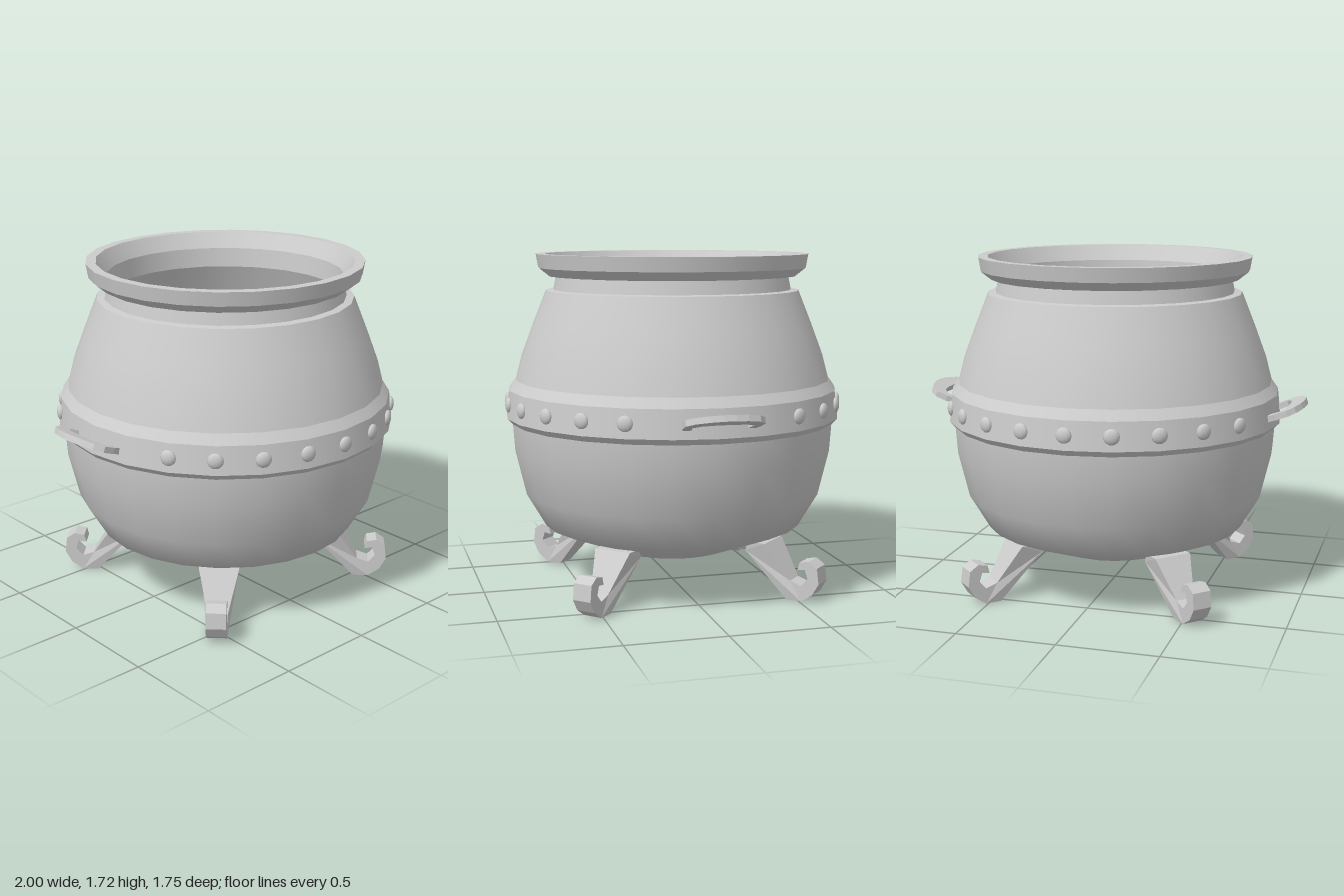
import * as THREE from 'three';

const material = new THREE.MeshStandardMaterial({ color: 0xcccccc });
const SIDES = 24;
const vectors = (pts) => pts.map(([a, b]) => new THREE.Vector2(a, b));

function addMesh(parent, name, geometry) {
  const mesh = new THREE.Mesh(geometry, material);
  mesh.name = name;
  parent.add(mesh);
  return mesh;
}

// Each section is a smooth lathe; hard edges fall between sections.
function addTurned(parent, name, sections) {
  const group = new THREE.Group();
  group.name = name;
  for (const pts of sections) {
    addMesh(group, name + 'Section', new THREE.LatheGeometry(vectors(pts), SIDES));
  }
  parent.add(group);
}

// Curled foot: side profile extruded, wider towards the top.
function legGeometry() {
  const profile = [
    [0.48, 0.24], [0.69, 0], [0.77, 0], [0.83, 0.04], [0.865, 0.1], [0.855, 0.18],
    [0.81, 0.21], [0.76, 0.2], [0.75, 0.16], [0.79, 0.165], [0.805, 0.12],
    [0.77, 0.08], [0.71, 0.1], [0.59, 0.285], [0.5, 0.285],
  ];
  const geometry = new THREE.ExtrudeGeometry(new THREE.Shape(vectors(profile)), { depth: 1, bevelEnabled: false });
  const pos = geometry.attributes.position;
  for (let i = 0; i < pos.count; i++) {
    const upper = pos.getX(i) < 0.7 ? THREE.MathUtils.clamp((pos.getY(i) - 0.02) / 0.24, 0, 1) : 0;
    pos.setZ(i, (pos.getZ(i) - 0.5) * (0.1 + 0.1 * upper));
  }
  geometry.computeVertexNormals();
  return geometry;
}

// Flat C-shaped grip, tilted upwards away from the pot.
function handleGeometry() {
  const outer = [[0, 0.16], [0.1, 0.19], [0.16, 0.19], [0.2, 0.155], [0.225, 0.09], [0.235, 0.03]];
  const inner = [[0.155, 0.05], [0.145, 0.11], [0.115, 0.15], [0, 0.115]];
  const half = [...outer, ...inner];
  const mirror = (pts) => pts.map(([u, v]) => [u, -v]);
  const outline = [
    ...mirror(outer), ...outer.slice().reverse(),
    ...inner.slice().reverse(), ...mirror(inner),
  ];
  const geometry = new THREE.ExtrudeGeometry(new THREE.Shape(vectors(outline)), { depth: 0.03, bevelEnabled: false });
  geometry.rotateX(-Math.PI / 2);
  geometry.rotateZ(0.36);
  geometry.translate(0.78, 0.915, 0);
  return geometry;
}

export function createModel() {
  const model = new THREE.Group();
  model.name = 'cauldron';

  // Rounded pot with stepped neck
  addTurned(model, 'body', [
    [[0, 0.13], [0.31, 0.19], [0.67, 0.33], [0.77, 0.5], [0.825, 0.73], [0.835, 0.87]],
    [[0.825, 1.03], [0.78, 1.2], [0.72, 1.36], [0.65, 1.535]],
    [[0.65, 1.535], [0.612, 1.54]],
    [[0.612, 1.535], [0.597, 1.61]],
  ]);

  // Raised band around the widest part
  addTurned(model, 'band', [
    [[0.825, 0.855], [0.862, 0.895]],
    [[0.862, 0.895], [0.845, 1.035]],
    [[0.845, 1.035], [0.81, 1.085]],
  ]);

  // Flared rim
  addTurned(model, 'rim', [
    [[0.59, 1.605], [0.635, 1.608]],
    [[0.635, 1.608], [0.688, 1.65]],
    [[0.688, 1.65], [0.7, 1.72]],
    [[0.7, 1.72], [0.65, 1.72]],
    [[0.65, 1.72], [0.6, 1.64]],
  ]);

  // Hollow inside
  addTurned(model, 'interior', [
    [[0.6, 1.64], [0.59, 1.54]],
    [[0.59, 1.54], [0.68, 1.34], [0.74, 1.18], [0.79, 0.95], [0.785, 0.73],
      [0.73, 0.52], [0.64, 0.37], [0.3, 0.23], [0, 0.18]],
  ]);

  // Rivets, left out where the handles join
  const rivet = new THREE.SphereGeometry(0.039, 12, 8);
  rivet.scale(1, 1, 0.5);
  for (let i = 0; i < 24; i++) {
    const angle = (i * Math.PI) / 12;
    if (Math.abs(Math.sin(angle)) > 0.95) continue;
    const mesh = addMesh(model, 'rivet', rivet);
    mesh.position.set(0.853 * Math.sin(angle), 0.965, 0.853 * Math.cos(angle));
    mesh.rotation.y = angle;
  }

  // Handles on both sides
  const handle = handleGeometry();
  addMesh(model, 'leftHandle', handle);
  addMesh(model, 'rightHandle', handle).rotation.y = Math.PI;

  // Four legs on the diagonals
  const leg = legGeometry();
  for (let i = 0; i < 4; i++) {
    addMesh(model, 'leg', leg).rotation.y = Math.PI / 4 + (i * Math.PI) / 2;
  }
  return model;
}
